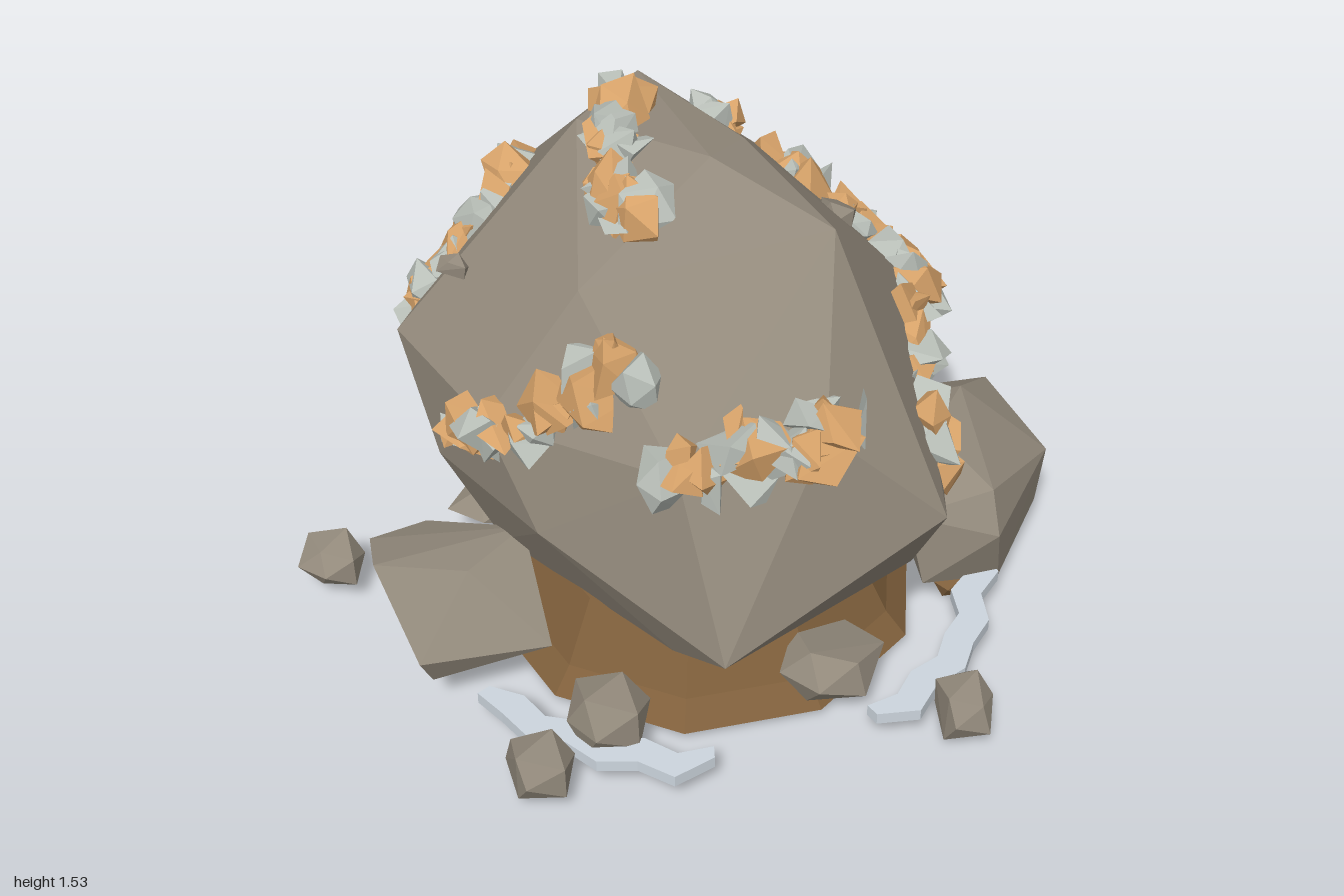
import * as THREE from 'three';
import { ConvexGeometry } from 'three/addons/geometries/ConvexGeometry.js';

const mat = (name, color) => {
  const m = new THREE.MeshStandardMaterial({ color, flatShading: true });
  m.name = name;
  return m;
};

// Small seeded generator
let seed = 11;
const rnd = () => {
  seed = (seed * 16807) % 2147483647;
  return seed / 2147483647;
};
const spread = (s) => (rnd() - 0.5) * 2 * s;

const vecs = (pts) => pts.map((p) => new THREE.Vector3(...p));

// Irregular chunk: hull of jittered icosahedron corners, some left out
function chunkGeometry(dropped) {
  const f = (1 + Math.sqrt(5)) / 2;
  const pts = [];
  for (const a of [-1, 1]) for (const b of [-f, f]) pts.push([0, a, b], [a, b, 0], [b, 0, a]);
  return new ConvexGeometry(vecs(pts).filter((v, i) => i % 3 === 0 || rnd() > dropped)
    .map((v) => v.normalize().multiplyScalar(0.8 + rnd() * 0.35)));
}

export function createModel() {
  seed = 11;
  const root = new THREE.Group();
  root.name = 'oreBoulder';
  const rock = mat('rock', 0x938a7c);
  const copper = mat('copper ore', 0xd6a269);
  const silver = mat('silver ore', 0xb9bfb8);
  const dirt = mat('dirt', 0x80603c);
  const ripple = mat('pale ripple', 0xcdd6de);

  const add = (name, geometry, material, parent = root) => {
    const m = new THREE.Mesh(geometry, material);
    m.name = name;
    parent.add(m);
    return m;
  };
  const group = (name) => {
    const g = new THREE.Group();
    g.name = name;
    root.add(g);
    return g;
  };

  // Main boulder
  const boulder = add('boulder', new ConvexGeometry(vecs([
    [0, 1.41, 0.42], [0, 1.46, 0.03], [0.17, 1.42, 0], [0.28, 1.4, -0.45], [-0.02, 1.41, -0.4],
    [0, 0.7, 0.8], [-0.55, 0.42, 0.53], [-0.25, 1.02, 0.6], [-0.5, 0.9, 0.34],
    [-0.36, 1.19, -0.1], [-0.6, 0.58, -0.05], [-0.58, 0.84, -0.24], [-0.45, 0.85, -0.68],
    [0.2, 1.06, -0.77], [-0.1, 0.84, -0.8], [0.24, 0.55, -0.73], [0.64, 0.78, -0.63],
    [0.63, 1.05, -0.31], [0.92, 0.33, -0.16], [0.65, 0.76, 0.25], [0.42, 1.02, 0.35],
    [0.28, 0.2, 0.52], [-0.48, 0.29, 0.3], [-0.39, 0.23, -0.39], [0.3, 0.22, -0.48],
    [0.6, 0.24, 0.02], [-0.5, 0.55, -0.5],
  ])), rock);
  boulder.updateMatrixWorld(true);

  // Dirt mound with a flat underside and a worn rim
  const profile = [[0, 0], [0.56, 0], [0.61, 0.03], [0.55, 0.1], [0.46, 0.28], [0, 0.3]];
  const mound = add('dirtMound',
    new THREE.LatheGeometry(profile.map((p) => new THREE.Vector2(...p)), 10), dirt);
  mound.rotation.y = 0.3;

  // Large stones leaning on the boulder
  add('rightStone', new ConvexGeometry(vecs([
    [0.28, 0.35, 0.5], [0.3, 0.12, 0.55], [0.5, 0.03, 0.5], [0.77, 0.05, 0.45],
    [0.99, 0.23, 0.27], [0.9, 0.38, 0.33], [0.72, 0.47, 0.36], [0.5, 0.48, 0.42],
    [0.42, 0.3, 0.71], [0.45, 0.42, 0.66], [0.82, 0.3, 0.6], [0.8, 0.12, 0.59],
    [0.82, 0.3, 0.14], [0.62, 0.36, 0.15], [0.62, 0.18, 0.15], [0.5, 0.08, 0.67],
  ])), rock);
  add('leftStone', new ConvexGeometry(vecs([
    [-0.91, 0.25, -0.2], [-0.75, 0.3, -0.53], [-0.65, 0.26, -0.65], [-0.48, 0.24, -0.6],
    [-0.4, 0.33, -0.3], [-0.62, 0.32, -0.3], [-0.6, 0.2, -0.02], [-0.85, 0.14, -0.22],
    [-0.65, 0.06, -0.5], [-0.45, 0.05, -0.2],
  ])), rock);

  // Loose stones: position, then half sizes
  const stones = group('looseStones');
  for (const [x, y, z, a, b, c] of [
    [0.42, 0.13, -0.92, 0.13, 0.08, 0.09], [-0.68, 0.13, -0.78, 0.1, 0.08, 0.1],
    [-0.89, 0.12, 0.18, 0.12, 0.08, 0.11], [-0.02, 0.12, 0.9, 0.12, 0.08, 0.1],
    [-0.66, 0.16, 0.22, 0.13, 0.1, 0.12], [-0.14, 0.16, 0.55, 0.16, 0.1, 0.14],
    [0.68, 0.16, -0.02, 0.12, 0.1, 0.12], [0.5, 0.18, -0.43, 0.13, 0.09, 0.12],
    [0.25, 0.18, -0.62, 0.13, 0.09, 0.11], [-0.2, 0.15, -0.6, 0.14, 0.09, 0.11],
    [0.39, 1.14, 0.14, 0.05, 0.05, 0.06], [-0.38, 1.08, -0.52, 0.04, 0.04, 0.05],
  ]) {
    const s = add('looseStone', chunkGeometry(0.15), rock, stones);
    s.position.set(x, y, z);
    s.scale.set(a, b, c);
  }

  // Small dirt clods at the foot of the mound
  for (const [x, z] of [[0.42, 0.56], [-0.6, 0.1], [-0.45, -0.5]]) {
    const c = add('dirtClod', chunkGeometry(0.2), dirt, stones);
    c.position.set(x, 0.06, z);
    c.scale.setScalar(0.05);
  }

  // Broken ripple bands around the base: start and end angle from +x towards +z
  const ripples = group('ripples');
  for (const [from, to] of [[-85, 8], [48, 104], [138, 188]]) {
    const n = Math.round((to - from) / 7);
    const outer = [], inner = [];
    for (let i = 0; i <= n; i++) {
      const t = THREE.MathUtils.degToRad(from + ((to - from) * i) / n);
      const r = 0.775 + (i % 2 ? 0.015 : -0.015) + spread(0.015);
      const w = i === 0 || i === n ? 0.02 : 0.042;
      outer.push(new THREE.Vector2(Math.cos(t) * (r + w), Math.sin(t) * (r + w)));
      inner.unshift(new THREE.Vector2(Math.cos(t) * (r - w), Math.sin(t) * (r - w)));
    }
    const g = new THREE.ExtrudeGeometry(new THREE.Shape([...outer, ...inner]),
      { depth: 0.035, bevelEnabled: false });
    g.rotateX(Math.PI / 2);
    add('rippleBand', g, ripple, ripples).position.y = 0.117;
  }

  // Ore veins: chunks strung along curves, dropped on to the boulder's surface
  const ray = new THREE.Raycaster();
  const core = new THREE.Vector3(0.05, 0.8, 0);
  const onSurface = (p, lift) => {
    const d = p.clone().sub(core).normalize();
    ray.set(core.clone().addScaledVector(d, 4), d.clone().negate());
    return ray.intersectObject(boulder)[0].point.addScaledVector(d, lift);
  };
  const chunk = (name, material, p, size, parent, lift = 0) => {
    const m = add(name, chunkGeometry(0.5), material, parent);
    m.position.copy(onSurface(p, lift));
    m.scale.set(size * (0.8 + rnd() * 0.3), size * (0.9 + rnd() * 0.4), size * (0.6 + rnd() * 0.3));
    m.rotation.set(rnd() * 6, rnd() * 6, rnd() * 6);
  };
  const near = (p, s) => p.clone().add(new THREE.Vector3(spread(s), spread(s), spread(s)));
  const veins = {
    frontRightVein: [[0.15, 0.78, 0.73], [0.2, 0.88, 0.64], [0.3, 1.0, 0.5], [0.43, 1.05, 0.32]],
    rightVein: [[0.51, 1.08, -0.11], [0.58, 1.03, 0.03], [0.63, 0.93, 0.15], [0.65, 0.82, 0.25]],
    frontLeftVein: [[-0.2, 1.06, 0.63], [-0.32, 1.0, 0.57], [-0.42, 0.98, 0.48], [-0.5, 0.92, 0.35]],
    leftVein: [[-0.46, 1.06, 0.1], [-0.53, 0.95, -0.05], [-0.57, 0.86, -0.2], [-0.58, 0.75, -0.35]],
    backVein: [[0.16, 0.98, -0.77], [0.02, 1.1, -0.75], [-0.15, 1.0, -0.77], [-0.32, 0.86, -0.73]],
    topVein: [[-0.18, 1.36, -0.07], [-0.12, 1.42, -0.18], [-0.03, 1.43, -0.28], [0.07, 1.43, -0.35]],
  };
  for (const [name, pts] of Object.entries(veins)) {
    const g = group(name);
    const curve = new THREE.CatmullRomCurve3(vecs(pts));
    const n = 7;
    for (let i = 0; i < n; i++) {
      const p = curve.getPointAt(i / (n - 1));
      chunk('copperChunk', copper, near(p, 0.03), 0.1, g);
      chunk('silverChunk', silver, near(p, 0.05), 0.088, g, 0.01);
      chunk('oreShard', i % 2 ? silver : copper, near(p, 0.06), 0.066, g, 0.01);
    }
  }

  // Lone ore clusters
  for (const [x, y, z] of [[0.31, 1.34, -0.2], [0.47, 0.96, -0.56]]) {
    const g = group('oreCluster');
    const p = new THREE.Vector3(x, y, z);
    for (let i = 0; i < 5; i++) {
      chunk('oreChunk', i % 2 ? silver : copper, near(p, 0.035), i % 2 ? 0.066 : 0.08, g);
    }
  }
  return root;
}
